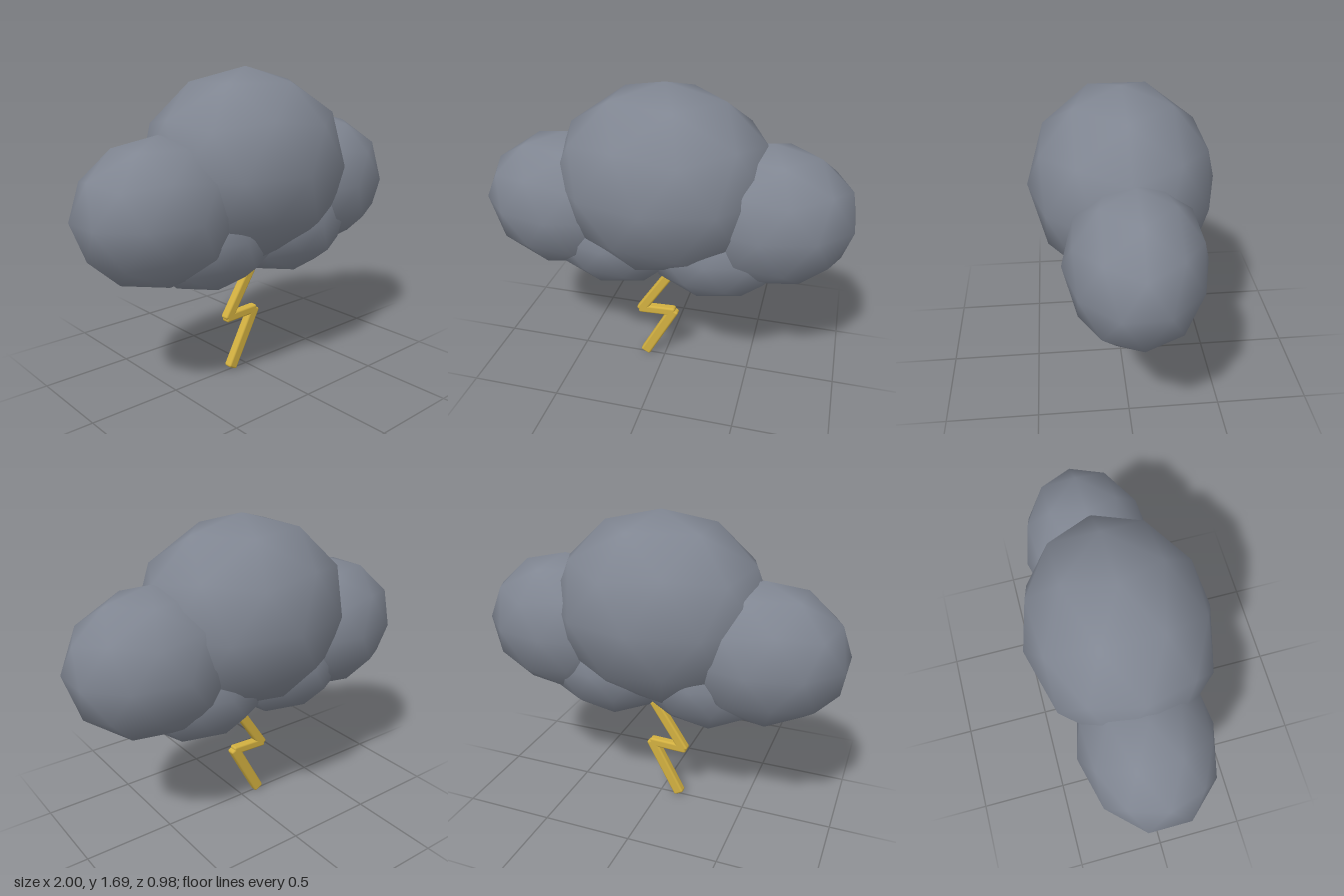
import * as THREE from 'three';
import { RoundedBoxGeometry } from 'three/addons/geometries/RoundedBoxGeometry.js';

export function createModel() {
  const cloudGrey = new THREE.MeshStandardMaterial({ name: 'cloudGrey', color: 0x808692 });
  const boltYellow = new THREE.MeshStandardMaterial({ name: 'boltYellow', color: 0xd2b040 });
  const model = new THREE.Group();
  model.name = 'stormCloud';

  // Cloud puffs: smooth-shaded icospheres with a vertex at the top and bottom
  const ball = new THREE.IcosahedronGeometry(1, 1);
  ball.rotateZ(-Math.atan(2 / (1 + Math.sqrt(5))));
  const cloud = new THREE.Group();
  cloud.name = 'cloud';
  const puffs = [
    ['centrePuff', [0, 1.173, -0.003], [0.6, 0.52, 0.492]],
    ['leftPuff', [0.555, 1.024, -0.018], [0.467, 0.393, 0.35]],
    ['rightPuff', [-0.56, 0.995, -0.008], [0.462, 0.385, 0.358]],
    ['lowerLeftPuff', [0.285, 0.842, 0], [0.4, 0.322, 0.32]],
    ['lowerRightPuff', [-0.265, 0.85, 0], [0.4, 0.32, 0.32]],
  ];
  for (const [name, position, scale] of puffs) {
    const puff = new THREE.Mesh(ball, cloudGrey);
    puff.name = name;
    puff.position.set(...position);
    puff.scale.set(...scale);
    cloud.add(puff);
  }
  model.add(cloud);

  // Lightning bolt: three bevelled bars along a zigzag
  const bolt = new THREE.Group();
  bolt.name = 'lightningBolt';
  const bar = (name, x1, y1, x2, y2, width) => {
    const length = Math.hypot(x2 - x1, y2 - y1);
    const mesh = new THREE.Mesh(new RoundedBoxGeometry(width, length, 0.05, 2, 0.012), boltYellow);
    mesh.name = name;
    mesh.position.set((x1 + x2) / 2, (y1 + y2) / 2, 0);
    mesh.rotation.z = Math.atan2(y2 - y1, x2 - x1) - Math.PI / 2;
    bolt.add(mesh);
  };
  bar('upperBar', -0.145, 0.315, 0.045, 0.605, 0.055);
  bar('middleBar', -0.155, 0.326, 0.065, 0.334, 0.05);
  bar('lowerBar', 0.06, 0.345, -0.118, 0.016, 0.06);
  model.add(bolt);

  return model;
}
